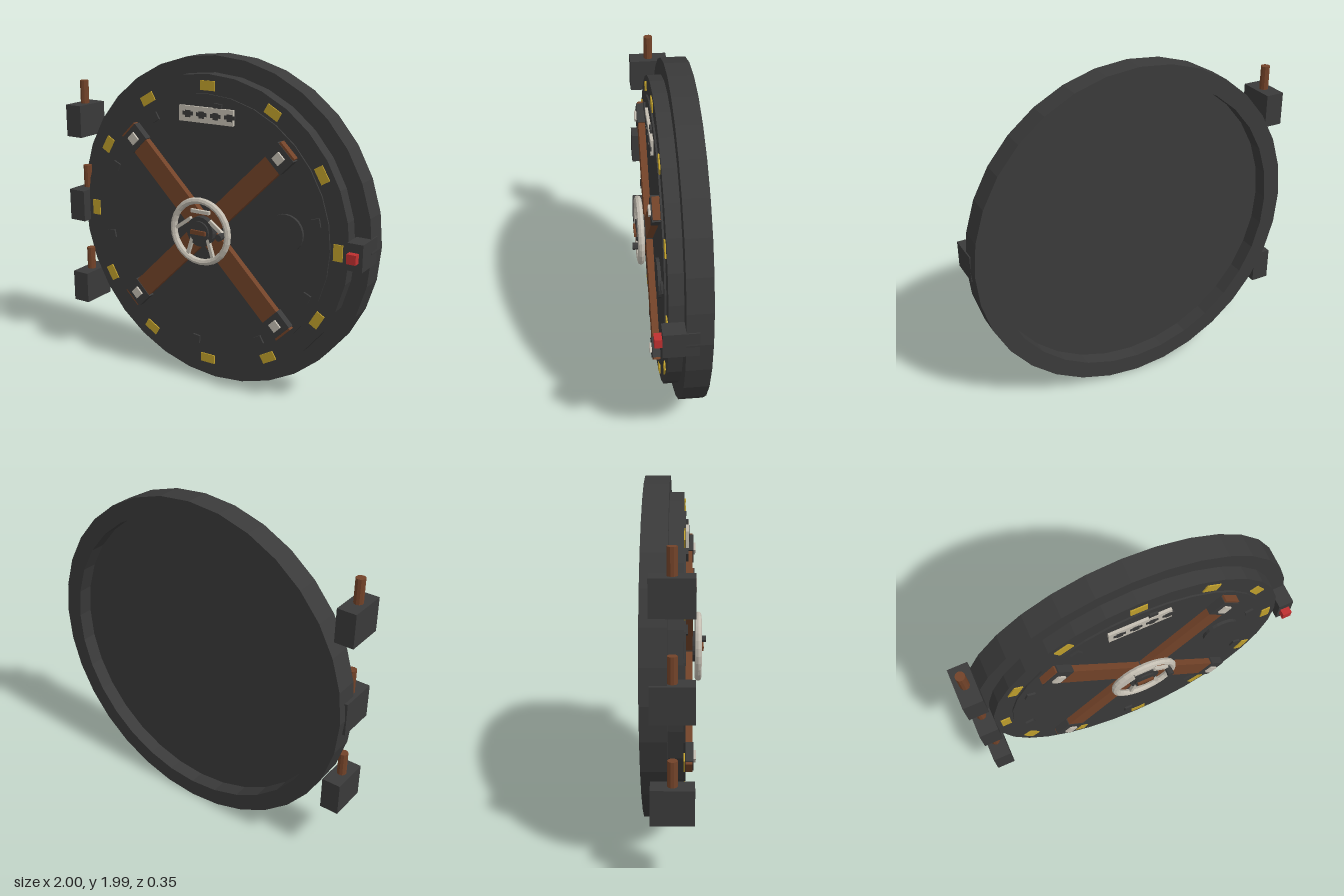
import * as THREE from 'three';

const flat = (name, color) => {
  const m = new THREE.MeshStandardMaterial({ color, flatShading: true });
  m.name = name;
  return m;
};

export function createModel() {
  const iron = flat('dark iron', 0x3a3a3a);
  const rust = flat('rusty brown', 0x734329);
  const yellow = flat('hazard yellow', 0xc0a02c);
  const steel = flat('pale steel', 0xc4beb2);
  const red = flat('warning red', 0xc03030);

  const model = new THREE.Group();
  model.name = 'vaultDoor';
  const door = new THREE.Group(); // origin at the wheel axis
  door.name = 'door';
  door.position.set(0.003, 0.995, 0);
  model.add(door);

  const add = (name, geo, mat, x, y, z, angle = 0) => {
    const mesh = new THREE.Mesh(geo, mat);
    mesh.name = name;
    mesh.position.set(x, y, z);
    mesh.rotation.z = angle;
    door.add(mesh);
    return mesh;
  };
  // box and forward-facing disc, placed by their back and front z
  const box = (name, mat, w, h, z0, z1, x, y, angle) =>
    add(name, new THREE.BoxGeometry(w, h, z1 - z0), mat, x, y, (z0 + z1) / 2, angle);
  const disc = (name, mat, r, z0, z1, x, y, sides) =>
    add(name, new THREE.CylinderGeometry(r, r, z1 - z0, sides).rotateX(Math.PI / 2), mat, x, y, (z0 + z1) / 2);
  const polar = (r, a) => [r * Math.cos(a), r * Math.sin(a)];

  // stepped slab with an outer rim and a recessed back
  const profile = [
    [0, -0.09], [0.89, -0.09], [0.89, -0.18], [0.995, -0.18],
    [0.995, -0.04], [0.9, -0.04], [0.9, 0.04], [0, 0.04],
  ].map(([r, z]) => new THREE.Vector2(r, z));
  add('doorSlab', new THREE.LatheGeometry(profile, 32).rotateX(Math.PI / 2), iron, 0, 0, 0);
  disc('innerPlate', iron, 0.79, 0.03, 0.05, 0, 0, 32);

  // yellow markers around the rim
  for (let i = 0; i < 12; i++) {
    const a = (i * Math.PI) / 6;
    box('rimMarker', yellow, 0.055, 0.095, 0.038, 0.047, ...polar(0.835, a), a);
  }

  // bolts on the plate
  for (let i = 0; i < 10; i++) {
    const a = ((12 + i * 36) * Math.PI) / 180;
    box('plateBolt', iron, 0.05, 0.05, 0.045, 0.062, ...polar(0.72, a), a);
  }

  // crossed braces with a clamp and stud at each end
  [1, -1].forEach((s, i) =>
    box('crossBrace', rust, 1.52, 0.122, 0.048, 0.09 - i * 0.001, 0, 0, (s * Math.PI) / 4));
  for (let i = 0; i < 4; i++) {
    const a = Math.PI / 4 + (i * Math.PI) / 2;
    box('braceClamp', iron, 0.115, 0.14, 0.048, 0.095, ...polar(0.69, a), a);
    box('braceStud', steel, 0.055, 0.055, 0.09, 0.107, ...polar(0.69, a), a);
  }

  // hub
  disc('hub', iron, 0.09, 0.05, 0.13, 0, 0, 20);
  disc('hubCap', iron, 0.065, 0.12, 0.142, 0, 0, 20);
  box('hubBar', rust, 0.1, 0.025, 0.135, 0.155, 0, 0);

  // hand wheel with five spokes and a grip
  add('wheelRim', new THREE.TorusGeometry(0.185, 0.02, 8, 28), steel, 0, 0, 0.122);
  for (let i = 0; i < 5; i++) {
    const turn = (i * Math.PI * 2) / 5;
    box('wheelSpoke', steel, 0.125, 0.02, 0.112, 0.132, ...polar(0.12, Math.PI / 2 + turn), turn / 2);
  }
  disc('wheelGrip', iron, 0.021, 0.12, 0.172, 0.152, 0, 8);

  // round cover
  disc('roundCover', iron, 0.11, 0.04, 0.068, 0.522, 0.063, 24);

  // plaque with plain dark inlays
  box('plaque', steel, 0.36, 0.09, 0.045, 0.066, 0, 0.67);
  for (let i = 0; i < 4; i++) {
    const x = -0.12 + i * 0.093;
    box('plaqueInlay', iron, 0.07, 0.022, 0.063, 0.069, x, 0.672);
    box('plaqueInlay', iron, 0.035, 0.04, 0.063, 0.07, x, 0.67);
  }

  // side latch with its lamp
  box('latch', iron, 0.092, 0.155, -0.11, 0.08, 0.948, 0.005);
  box('latchLamp', red, 0.055, 0.055, 0.07, 0.12, 0.944, 0.005);

  // hinges with standing pins
  [-0.545, 0.007, 0.545].forEach((y) => {
    box('hingeBlock', iron, 0.112, 0.197, -0.13, 0.1, -0.947, y);
    add('hingePin', new THREE.CylinderGeometry(0.027, 0.027, 0.3, 10), rust, -0.947, y + 0.09, -0.015);
  });

  return model;
}
